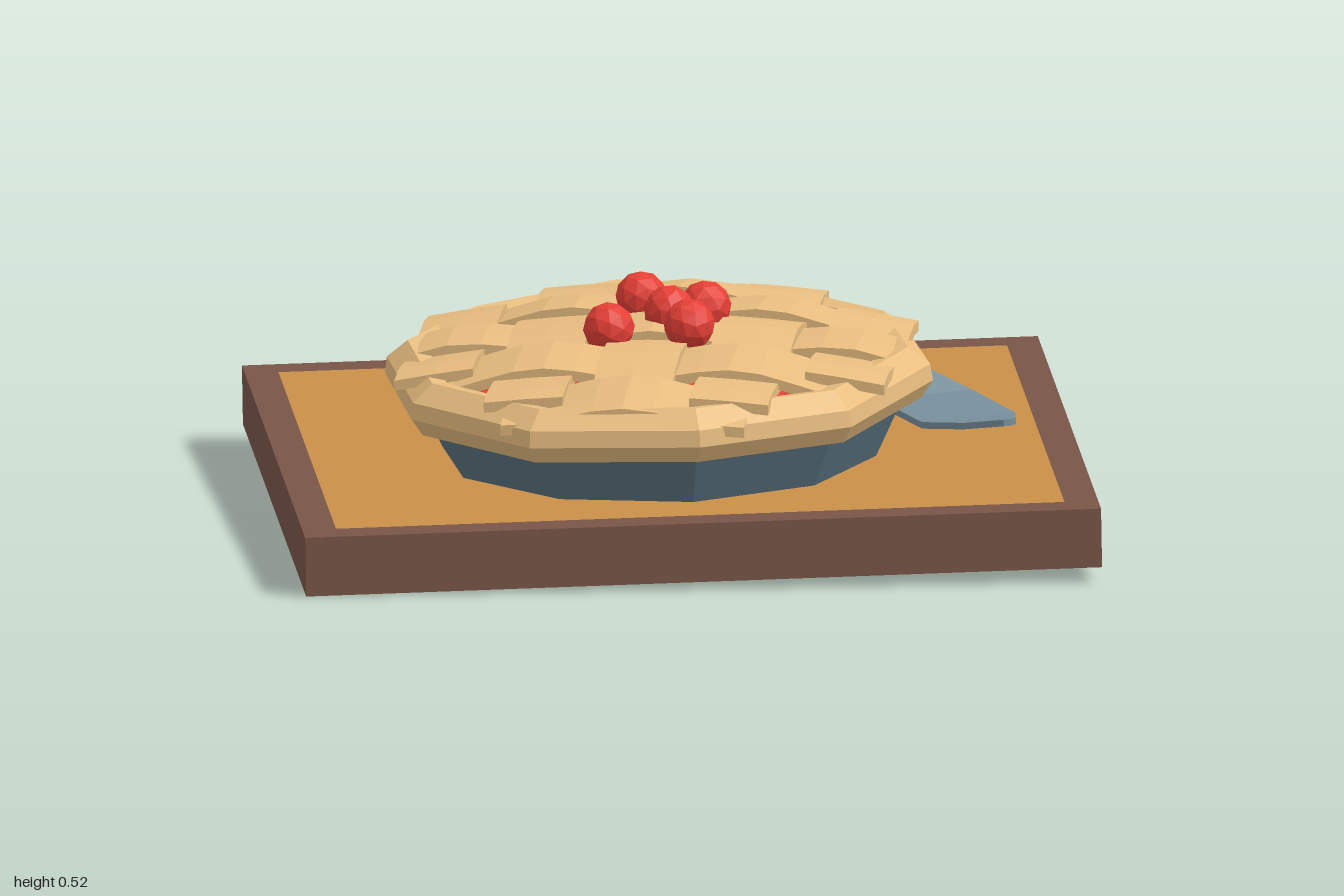
import * as THREE from 'three';

const mat = (color) => new THREE.MeshStandardMaterial({ color, flatShading: true });
const M = {
  frame: mat(0x795548), wood: mat(0xc99048), crust: mat(0xe8bd80), cherry: mat(0xe53f35),
  dish: mat(0x5a7380), steel: mat(0x78909c), handle: mat(0x6d4c41),
};
const SIDES = 10, SPIN = THREE.MathUtils.degToRad(25);

function add(parent, name, geometry, material, x = 0, y = 0, z = 0) {
  const mesh = new THREE.Mesh(geometry, material);
  mesh.name = name;
  mesh.position.set(x, y, z);
  parent.add(mesh);
  return mesh;
}

function lathe(points, sides, start = 0) {
  return new THREE.LatheGeometry(points.map((p) => new THREE.Vector2(...p)), sides, start);
}

// Move every vertex of a geometry by a rule
function reshape(geometry, rule) {
  const pos = geometry.attributes.position, v = new THREE.Vector3();
  for (let i = 0; i < pos.count; i++) {
    rule(v.fromBufferAttribute(pos, i));
    pos.setXYZ(i, v.x, v.y, v.z);
  }
  geometry.computeVertexNormals();
  return geometry;
}

// Height of the pie's domed top at a distance from its middle
const dome = (r) => 0.212 + 0.045 * (1 - (r / 0.48) ** 2);

function makeBoard() {
  const board = new THREE.Group();
  board.name = 'servingBoard';
  board.rotation.y = -Math.PI / 12;
  const w = 1.655, d = 1.52, h = 0.125, rim = 0.07;
  const rect = (Shape, a, b) => new Shape([[-a, -b], [a, -b], [a, b], [-a, b]].map((p) => new THREE.Vector2(...p)));
  const outline = rect(THREE.Shape, w / 2, d / 2);
  outline.holes.push(rect(THREE.Path, w / 2 - rim, d / 2 - rim));
  const frame = new THREE.ExtrudeGeometry(outline, { depth: h, bevelEnabled: false }).rotateX(-Math.PI / 2);
  add(board, 'boardFrame', frame, M.frame);
  add(board, 'boardPanel', new THREE.BoxGeometry(w - 2 * rim, h, d - 2 * rim), M.wood, 0, h / 2, 0);
  return board;
}

function makeLattice() {
  const lattice = new THREE.Group();
  lattice.name = 'latticeTop';
  lattice.rotation.y = -THREE.MathUtils.degToRad(28);
  const gap = 0.215;
  for (const across of [0, 1]) {
    for (let i = -2; i <= 2; i++) {
      const offset = i * gap, half = Math.sqrt(0.5 ** 2 - offset ** 2);
      const sign = (i % 2 ? -1 : 1) * (across ? -1 : 1);
      // Each strip rises and dips in turn over the strips it crosses
      const strip = new THREE.BoxGeometry(half * 2, 0.022, 0.165, 2 * Math.ceil((half / gap) * 3), 1, 2);
      reshape(strip, (v) => {
        const r = Math.hypot(v.x, v.z + offset);
        v.y += dome(r) + 0.014 * sign * Math.cos((Math.PI * v.x) / gap);
        v.z += offset;
      });
      add(lattice, 'latticeStrip', strip, M.crust).rotation.y = across * Math.PI / 2;
    }
  }
  // With the crossing strips turned a quarter, odd and even strips still alternate
  return lattice;
}

function makePie() {
  const pie = new THREE.Group();
  pie.name = 'pie';
  pie.position.set(-0.065, 0.125, 0.105);

  add(pie, 'dish', lathe([[0, 0], [0.455, 0], [0.53, 0.16], [0.48, 0.16], [0, 0.15]], SIDES, SPIN), M.dish);

  const top = new THREE.Group();
  top.name = 'pieTop';
  top.rotation.set(0.02, 0, 0.02);
  pie.add(top);

  // Slightly uneven folded rim
  const rim = lathe([[0.48, 0.13], [0.55, 0.118], [0.575, 0.155], [0.57, 0.19], [0.525, 0.226],
    [0.49, 0.22], [0.475, 0.185], [0.48, 0.13]], SIDES, SPIN);
  reshape(rim, (v) => {
    const a = Math.atan2(v.z, v.x);
    const k = 1 + 0.012 * Math.sin(3 * a + 1);
    v.x *= k;
    v.z *= k;
    v.y += 0.006 * Math.sin(4 * a);
  });
  add(top, 'crustRim', rim, M.crust);

  const fill = [0.49, 0.36, 0.24, 0.12, 0].map((r) => [r, dome(r) - 0.026]);
  add(top, 'cherryFilling', lathe(fill, 20, SPIN), M.cherry);
  top.add(makeLattice());

  const spots = [[-0.05, -0.03], [0.055, 0.07], [-0.035, 0.1], [-0.185, 0.145], [-0.035, 0.22]];
  spots.forEach(([x, z], i) => {
    const cherry = add(top, 'cherry', new THREE.IcosahedronGeometry(0.054, 1), M.cherry,
      x + 0.07, 0.295 - (i % 2) * 0.008, z - 0.11);
    cherry.rotation.set(i, i * 2, 0);
  });
  return pie;
}

function makeServer() {
  const server = new THREE.Group();
  server.name = 'pieServer';

  // Handle, turned along its own axis from the end knob to the neck
  const from = new THREE.Vector3(0.44, 0.165, -0.63), to = new THREE.Vector3(0.51, 0.212, -0.13);
  const grip = new THREE.Group();
  grip.name = 'serverHandle';
  grip.position.copy(from);
  grip.quaternion.setFromUnitVectors(new THREE.Vector3(0, 1, 0), to.clone().sub(from).normalize());
  server.add(grip);
  add(grip, 'endKnob', lathe([[0, 0], [0.02, 0.004], [0.03, 0.02], [0.02, 0.042], [0, 0.05]], 8), M.steel);
  add(grip, 'grip', lathe([[0, 0.035], [0.024, 0.035], [0.033, 0.09], [0.026, 0.24], [0.034, 0.38],
    [0.024, 0.41], [0, 0.41]], 6), M.handle);
  add(grip, 'ferrule', lathe([[0, 0.4], [0.03, 0.4], [0.03, 0.42], [0.019, 0.43], [0.019, 0.46],
    [0.027, 0.465], [0.027, 0.485], [0.018, 0.51], [0, 0.52]], 8), M.steel);

  // Blade rows: z, left x, right x, height
  const rows = [[-0.15, 0.488, 0.53, 0.212], [-0.11, 0.478, 0.565, 0.205], [-0.015, 0.46, 0.668, 0.15],
    [0.25, 0.462, 0.668, 0.16], [0.33, 0.525, 0.64, 0.17], [0.4, 0.588, 0.605, 0.186]];
  const blade = reshape(new THREE.BoxGeometry(1, 0.014, 1, 1, 1, rows.length - 1), (v) => {
    const [z, x0, x1, y] = rows[Math.round((v.z + 0.5) * (rows.length - 1))];
    v.set(v.x < 0 ? x0 : x1, v.y + y, z);
  });
  add(server, 'blade', blade, M.steel);
  return server;
}

export function createModel() {
  const model = new THREE.Group();
  model.name = 'pieOnBoard';
  // Everything rests on the slightly tilted board
  const tilted = new THREE.Group();
  tilted.name = 'tiltedSetting';
  tilted.position.y = 0.04;
  tilted.rotation.set(0.025, 0, 0.027);
  tilted.add(makeBoard(), makePie(), makeServer());
  model.add(tilted);
  return model;
}
